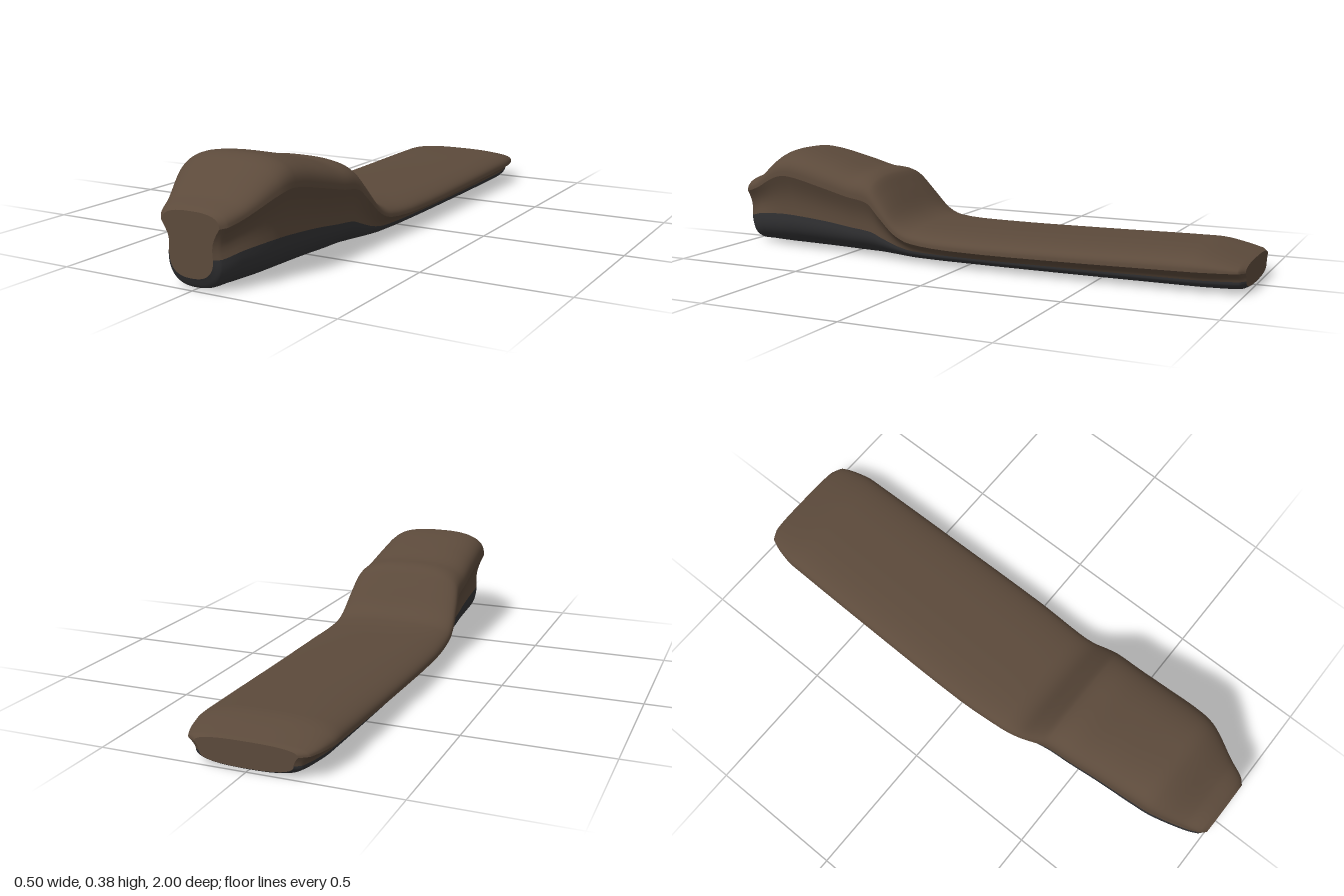
import * as THREE from 'three';

// Stations from nose to tail:
// z, half width, top y, crease y, base half width, base seam y, bottom y, side hollow
const STATIONS = [
  [1.0, 0.105, 0.243, 0.2, 0.08, 0.105, 0.038, 0.012],
  [0.98, 0.125, 0.255, 0.205, 0.1, 0.105, 0.006, 0.014],
  [0.92, 0.148, 0.28, 0.225, 0.128, 0.12, 0.003, 0.014],
  [0.81, 0.19, 0.363, 0.275, 0.16, 0.131, 0.002, 0.012],
  [0.74, 0.2, 0.38, 0.285, 0.168, 0.131, 0.002, 0.012],
  [0.58, 0.207, 0.348, 0.252, 0.178, 0.12, 0.001, 0.01],
  [0.47, 0.212, 0.318, 0.226, 0.187, 0.108, 0, 0.008],
  [0.38, 0.216, 0.304, 0.208, 0.192, 0.098, 0, 0.008],
  [0.33, 0.224, 0.25, 0.165, 0.197, 0.08, 0, 0.008],
  [0.26, 0.232, 0.165, 0.105, 0.201, 0.056, 0, 0.006],
  [0.19, 0.238, 0.133, 0.078, 0.205, 0.044, 0, 0.005],
  [0.0, 0.248, 0.123, 0.067, 0.21, 0.04, 0, 0.005],
  [-0.4, 0.245, 0.126, 0.068, 0.21, 0.04, 0, 0.005],
  [-0.82, 0.238, 0.133, 0.074, 0.205, 0.042, 0, 0.005],
  [-0.88, 0.234, 0.127, 0.075, 0.2, 0.042, 0, 0.005],
  [-0.98, 0.203, 0.103, 0.074, 0.178, 0.043, 0.002, 0.004],
  [-1.0, 0.17, 0.097, 0.072, 0.155, 0.043, 0.012, 0.003],
];

// Smooth blend between stations
function denseStations(steps) {
  const rows = [];
  for (let i = 0; i < STATIONS.length - 1; i++) {
    const p1 = STATIONS[i], p2 = STATIONS[i + 1];
    const p0 = STATIONS[i - 1] || p1, p3 = STATIONS[i + 2] || p2;
    const dz = p2[0] - p1[0];
    for (let s = 0; s < steps; s++) {
      const t = s / steps, t2 = t * t, t3 = t2 * t;
      rows.push(p1.map((a, k) => {
        if (k === 0) return a + dz * t;
        const b = p2[k];
        const m1 = (b - p0[k]) / (p2[0] - p0[0]) * dz;
        const m2 = (p3[k] - a) / (p3[0] - p1[0]) * dz;
        const v = (2 * t3 - 3 * t2 + 1) * a + (t3 - 2 * t2 + t) * m1
          + (3 * t2 - 2 * t3) * b + (t3 - t2) * m2;
        return Math.max(v, 0);
      }));
    }
  }
  rows.push(STATIONS[STATIONS.length - 1]);
  return rows;
}

// Half of a squarish ellipse, running counterclockwise from angle a0
function halfOval(w, h, y, a0, power, n = 32) {
  const pts = [];
  for (let i = 0; i <= n; i++) {
    const a = a0 + Math.PI * i / n;
    const c = Math.cos(a), s = Math.sin(a);
    pts.push([
      w * Math.sign(c) * Math.abs(c) ** (2 / power),
      y + h * Math.sign(s) * Math.abs(s) ** (2 / power),
    ]);
  }
  // Exact ends keep neighbouring strips joined
  const dir = Math.sign(Math.cos(a0));
  pts[0] = [w * dir, y];
  pts[n] = [-w * dir, y];
  return pts;
}

// Cross-section strips: padded top, two hollow sides, rounded base
const topStrip = ([, w, top, crease]) => halfOval(w, top - crease, crease, 0, 2.7);
const baseStrip = ([, , , , bw, seam, bottom]) => halfOval(bw, seam - bottom, seam, Math.PI, 2.5);
function leftStrip([, w, , crease, bw, seam, , hollow]) {
  const pts = [];
  for (let i = 0; i <= 6; i++) {
    const t = i / 6;
    pts.push([bw + (w - bw) * t - hollow * Math.sin(Math.PI * t), seam + (crease - seam) * t]);
  }
  return pts;
}
const rightStrip = (row) => leftStrip(row).map(([x, y]) => [-x, y]).reverse();

// Skin one strip along the whole length
function loft(rows, strip) {
  const pos = [], index = [];
  let n = 0;
  for (const row of rows) {
    const pts = strip(row);
    n = pts.length;
    for (const [x, y] of pts) pos.push(x, y, row[0]);
  }
  for (let i = 0; i < rows.length - 1; i++) {
    for (let j = 0; j < n - 1; j++) {
      const a = i * n + j, b = a + 1, c = a + n, d = c + 1;
      index.push(a, c, b, b, c, d);
    }
  }
  const g = new THREE.BufferGeometry();
  g.setAttribute('position', new THREE.Float32BufferAttribute(pos, 3));
  g.setIndex(index);
  g.computeVertexNormals();
  return g;
}

// Flat end face from the full outline
function endFace(row) {
  const outline = [topStrip, rightStrip, baseStrip, leftStrip].flatMap((f) => f(row).slice(0, -1));
  return new THREE.ShapeGeometry(new THREE.Shape(outline.map(([x, y]) => new THREE.Vector2(x, y))));
}

export function createModel() {
  const seat = new THREE.Group();
  seat.name = 'seat';
  const leather = new THREE.MeshStandardMaterial({ color: 0x5c4a3b });
  const pan = new THREE.MeshStandardMaterial({ color: 0x333335 });
  const add = (name, geometry, material) => {
    const mesh = new THREE.Mesh(geometry, material);
    mesh.name = name;
    seat.add(mesh);
    return mesh;
  };

  const rows = denseStations(4);
  add('cushionTop', loft(rows, topStrip), leather);
  add('leftSidePanel', loft(rows, leftStrip), leather);
  add('rightSidePanel', loft(rows, rightStrip), leather);
  add('basePan', loft(rows, baseStrip), pan);

  // End faces
  add('noseFace', endFace(rows[0]), leather).position.z = 1;
  const tail = add('tailFace', endFace(rows[rows.length - 1]), leather);
  tail.rotation.y = Math.PI;
  tail.position.z = -1;
  return seat;
}
